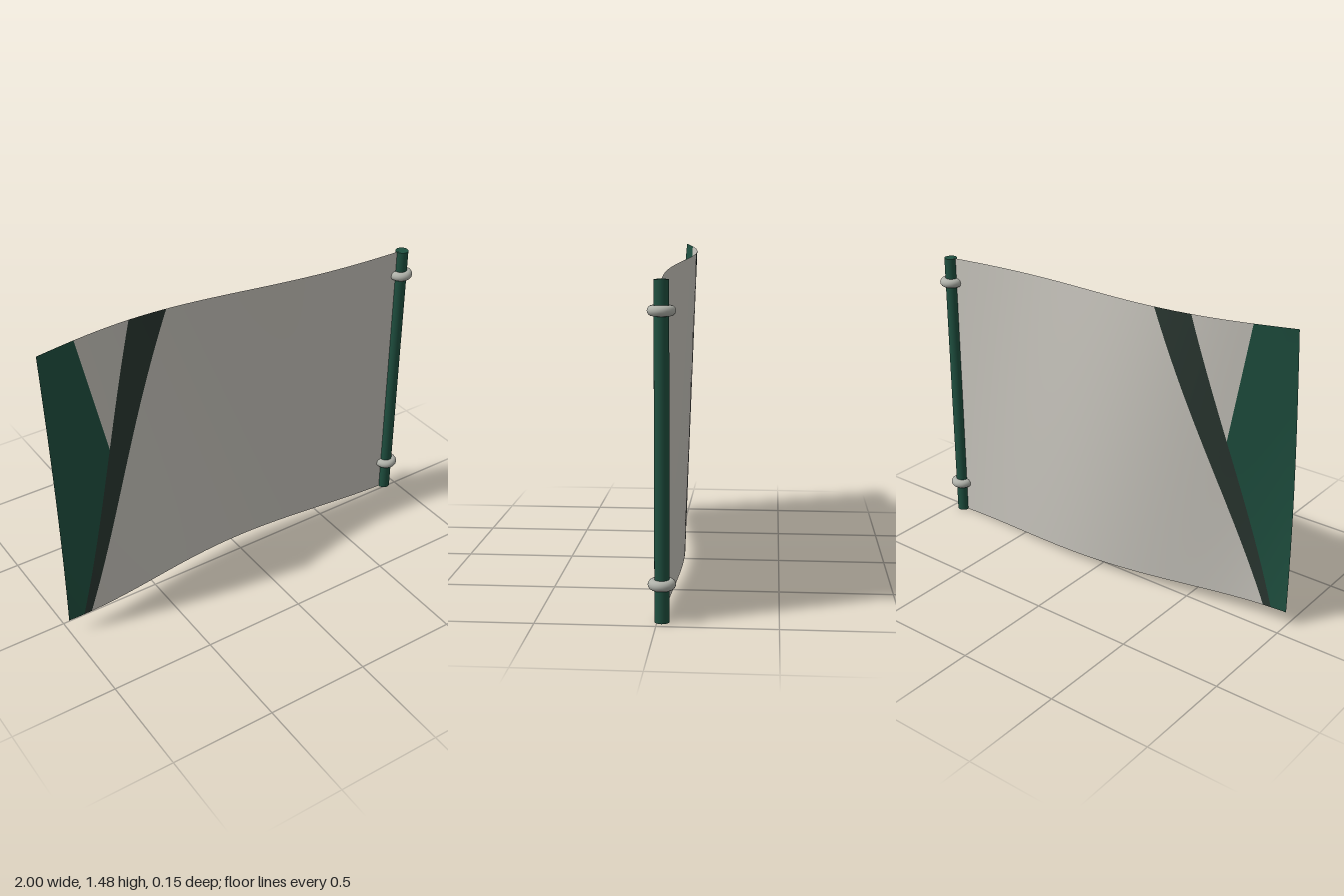
import * as THREE from 'three';

const POLE_X = 0.94, POLE_Z = -0.02, HEIGHT = 1.4, LENGTH = 1.94, ROWS = 48;
const SPLIT = 28 / ROWS; // height fraction where the hem panel meets the stripe

// Point on the rippling cloth: x across, v = height fraction
function clothPoint(x, v) {
  const s = (POLE_X - x) / LENGTH;
  const z = POLE_Z + 0.092 * s * Math.sin(4.96 * s + 3.11 - 1.46 * v);
  return [x, HEIGHT * v + 0.075 * s, z];
}

// Panel of cloth between two boundary lines, over rows r0..ROWS
function clothPanel(name, left, right, columns, r0, material) {
  const positions = [], index = [];
  for (let r = r0; r <= ROWS; r++) {
    const v = r / ROWS;
    for (let c = 0; c <= columns; c++) {
      positions.push(...clothPoint(THREE.MathUtils.lerp(left(v), right(v), c / columns), v));
    }
  }
  const w = columns + 1;
  for (let r = 0; r < ROWS - r0; r++) {
    for (let c = 0; c < columns; c++) {
      const a = r * w + c;
      index.push(a, a + 1, a + w + 1, a, a + w + 1, a + w);
    }
  }
  const geometry = new THREE.BufferGeometry();
  geometry.setAttribute('position', new THREE.Float32BufferAttribute(positions, 3));
  geometry.setIndex(index);
  geometry.computeVertexNormals();
  const mesh = new THREE.Mesh(geometry, material);
  mesh.name = name;
  return mesh;
}

export function createModel() {
  const make = (name, color, side = THREE.FrontSide) => {
    const m = new THREE.MeshStandardMaterial({ color, side });
    m.name = name;
    return m;
  };
  const cream = make('pale cloth', 0xc9c6be, THREE.DoubleSide);
  const green = make('deep green', 0x1f5040, THREE.DoubleSide);
  const dark = make('dark stripe', 0x2a3731, THREE.DoubleSide);
  const metal = make('ring metal', 0xb0b2aa);

  const group = new THREE.Group();
  group.name = 'flag';

  // Cloth panels, each bounded by straight lines
  const stripeLeft = v => -0.92 + 0.395 * v;
  const stripeRight = v => -0.88 + 0.545 * v;
  const hem = v => (v <= SPLIT ? stripeLeft(v) : stripeLeft(SPLIT) - 0.285 * (v - SPLIT));
  group.add(
    clothPanel('greenPanel', () => -1, hem, 8, 0, green),
    clothPanel('paleWedge', hem, stripeLeft, 8, SPLIT * ROWS, cream),
    clothPanel('darkStripe', stripeLeft, stripeRight, 6, 0, dark),
    clothPanel('mainCloth', stripeRight, () => POLE_X - 0.01, 50, 0, cream),
  );

  // Pole
  const pole = new THREE.Mesh(new THREE.CylinderGeometry(0.031, 0.031, HEIGHT, 24), green);
  pole.name = 'pole';
  pole.position.set(POLE_X, HEIGHT / 2, POLE_Z);
  group.add(pole);

  // Rings round the pole
  for (const [name, y] of [['lowerRing', 0.16], ['upperRing', 1.277]]) {
    const ring = new THREE.Mesh(new THREE.TorusGeometry(0.036, 0.022, 16, 40), metal);
    ring.name = name;
    ring.rotation.x = Math.PI / 2;
    ring.position.set(POLE_X, y, POLE_Z);
    group.add(ring);
  }
  return group;
}
